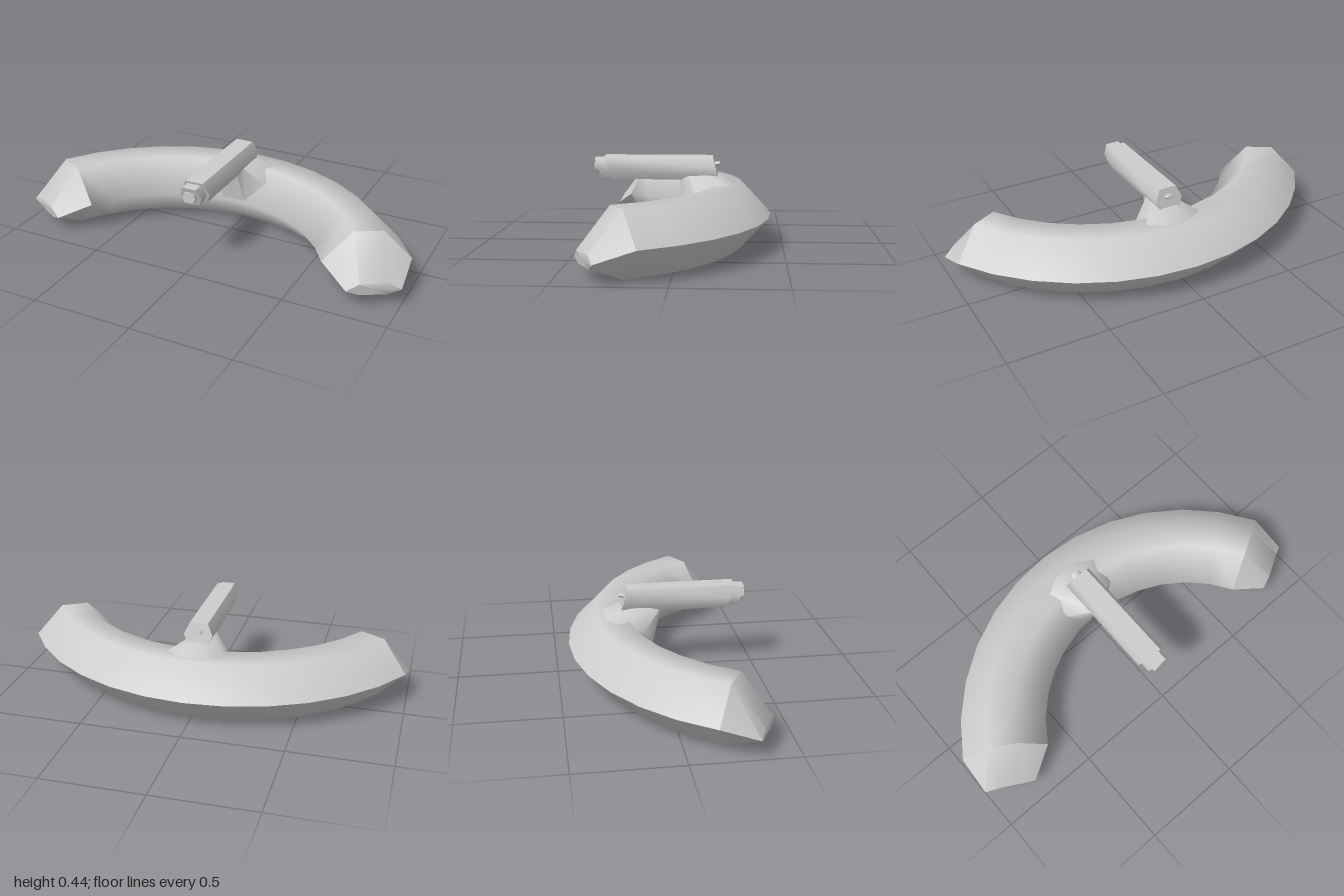
import * as THREE from 'three';
import { toCreasedNormals } from 'three/addons/utils/BufferGeometryUtils.js';

const material = new THREE.MeshStandardMaterial({ color: 0xcccccc });

// Skin a row of rings (counter-clockwise about the direction of travel).
// An open ring repeats its first point, which leaves a sharp seam there.
function loft(name, rings, { closed = true, capStart = false, capEnd = false, crease = 0 } = {}) {
  const n = rings[0].length;
  const positions = rings.flat(2);
  const index = [];
  for (let i = 0; i < rings.length - 1; i++) {
    for (let j = 0; j < (closed ? n : n - 1); j++) {
      const a = i * n + j, b = i * n + (j + 1) % n;
      index.push(a, b, b + n, a, b + n, a + n);
    }
  }
  const cap = (ring, flip) => {
    const start = positions.length / 3;
    const centre = [0, 1, 2].map(k => ring.reduce((s, p) => s + p[k], 0) / n);
    positions.push(...ring.flat(), ...centre);
    for (let j = 0; j < n; j++) {
      const a = start + j, b = start + (j + 1) % n;
      index.push(start + n, flip ? b : a, flip ? a : b);
    }
  };
  if (capStart) cap(rings[0], true);
  if (capEnd) cap(rings[rings.length - 1], false);
  let geometry = new THREE.BufferGeometry();
  geometry.setAttribute('position', new THREE.Float32BufferAttribute(positions, 3));
  geometry.setIndex(index);
  geometry.computeVertexNormals();
  if (crease) geometry = toCreasedNormals(geometry, crease);
  const mesh = new THREE.Mesh(geometry, material);
  mesh.name = name;
  return mesh;
}

// Arc of the wall: profile points are [radius, height, advance along the tangent]
const ARC_CENTRE_Z = 0.7;
function station(degrees, profile) {
  const a = THREE.MathUtils.degToRad(degrees), side = Math.sign(degrees);
  return profile.map(([r, y, t = 0]) => [
    r * Math.sin(a) + side * t * Math.cos(a),
    y,
    ARC_CENTRE_Z - r * Math.cos(a) + side * t * Math.sin(a),
  ]);
}

// Hexagon with flat top and bottom; z may lean with the height
function hexRing(cy, w, h, zAt) {
  return [[1, 0], [0.62, 1], [-0.62, 1], [-1, 0], [-0.62, -1], [0.62, -1]]
    .map(([u, v]) => [u * w, cy + v * h, zAt(cy + v * h)]);
}

function hexTube(name, cy, w, h, zBack, zFront) {
  return loft(name, [hexRing(cy, w, h, zBack), hexRing(cy, w, h, zFront)],
    { capStart: true, capEnd: true, crease: 1.1 });
}

// Ring mirrored from its +x half, listed front to back
const mirrorRing = half => [...half, ...half.slice().reverse().map(([x, y, z]) => [-x, y, z])];

export function createModel() {
  const model = new THREE.Group();
  model.name = 'curvedWallWithGun';

  // Curved hexagonal wall, sharp along its outer ridge
  const hex = [[1.14, 0.15], [1.0, 0.3], [0.86, 0.3], [0.72, 0.15], [0.86, 0], [1.0, 0]];
  const wallRings = [];
  for (let d = -60; d <= 60; d += 10) wallRings.push(station(d, [...hex, hex[0]]));
  model.add(loft('wall', wallRings, { closed: false }));

  // Drooping noses that close both ends
  const nose = [[1.06, 0.09, 0.165], [1.0, 0.125, 0.16], [0.87, 0.12, 0.16],
    [0.81, 0.08, 0.15], [0.87, 0.058, 0.15], [1.0, 0.058, 0.15]];
  model.add(loft('leftNose', [station(60, hex), station(60, nose)], { capEnd: true, crease: 0.9 }));
  model.add(loft('rightNose', [station(-60, nose), station(-60, hex)], { capStart: true, crease: 0.9 }));

  // Flared mount draped over the top and inner slope of the wall
  const skirt = mirrorRing([[0.06, 0.165, -0.02], [0.145, 0.245, -0.08], [0.145, 0.3, -0.21], [0.06, 0.3, -0.26]]);
  const neck = mirrorRing([[0.04, 0.33, 0.02], [0.055, 0.34, -0.03], [0.055, 0.345, -0.12], [0.04, 0.345, -0.175]]);
  model.add(loft('mount', [skirt, neck], { capStart: true, capEnd: true, crease: 1.1 }));

  // Gun: housing, sleeve and muzzle with leaning ends
  const gun = new THREE.Group();
  gun.name = 'gun';
  gun.add(hexTube('housing', 0.38, 0.072, 0.058, y => -0.15 - (0.438 - y) * 0.27, y => 0.352 + (y - 0.322) * 0.37));
  gun.add(hexTube('sleeve', 0.378, 0.056, 0.048, () => 0.3, y => 0.408 + (y - 0.33) * 0.38));
  gun.add(hexTube('muzzle', 0.379, 0.034, 0.025, () => 0.35, () => 0.446));

  // Small catch at the back of the housing
  gun.add(loft('catch', [
    hexRing(0.402, 0.022, 0.008, y => -0.185 - (0.402 - y) * 0.2),
    hexRing(0.394, 0.028, 0.012, () => -0.15),
  ], { capStart: true, capEnd: true, crease: 1.1 }));
  model.add(gun);
  return model;
}
